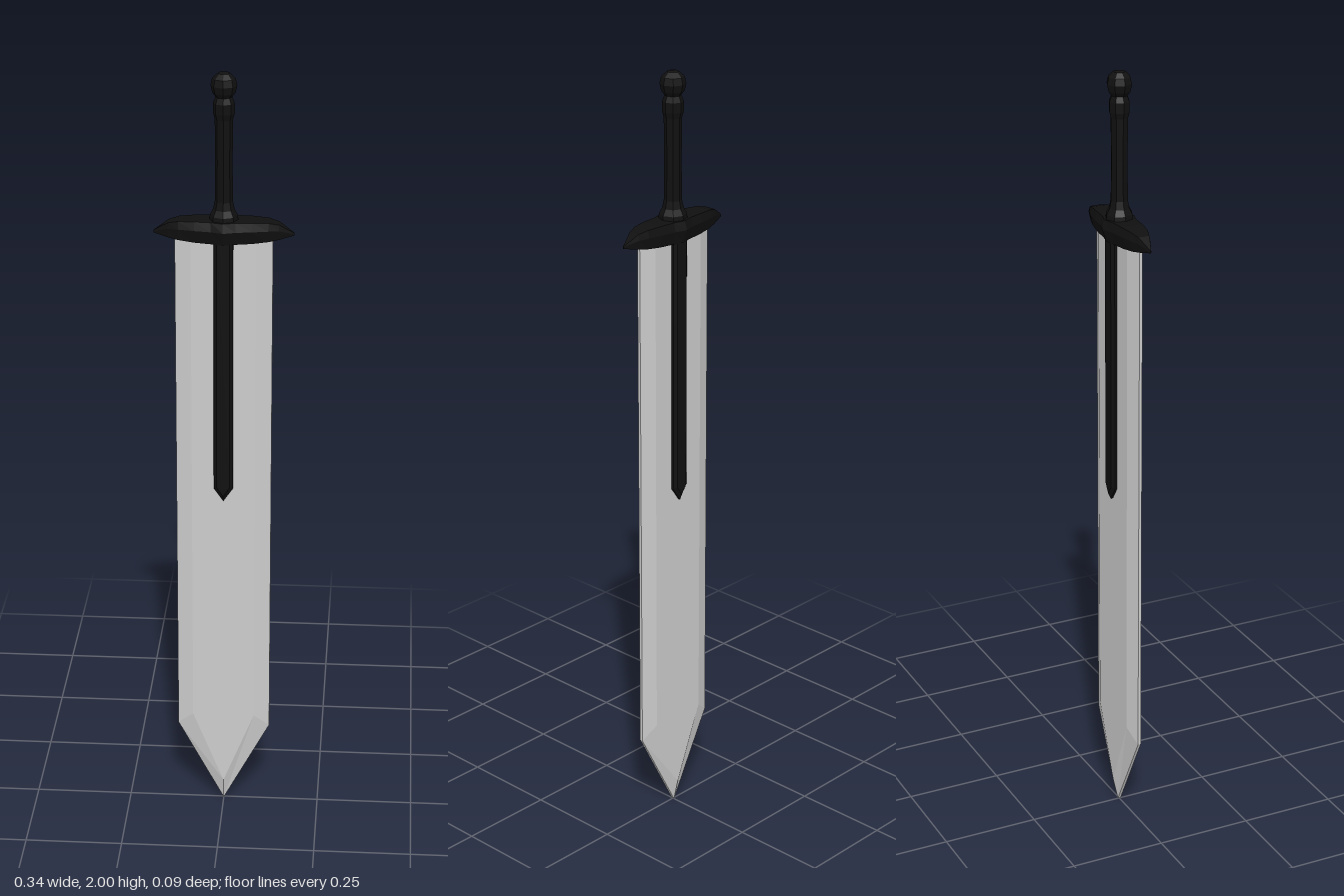
import * as THREE from 'three';

const steel = new THREE.MeshStandardMaterial({ color: 0xcccccc, flatShading: true });
const black = new THREE.MeshStandardMaterial({ color: 0x101010, flatShading: true });

// Skin a list of equal-length rings (counter-clockwise about the travel direction), capping both ends
function loft(rings) {
  const n = rings[0].length, last = (rings.length - 1) * n, index = [];
  for (let r = 0; r < rings.length - 1; r++) {
    for (let i = 0; i < n; i++) {
      const a = r * n + i, b = r * n + (i + 1) % n;
      index.push(a, b, b + n, a, b + n, a + n);
    }
  }
  for (let i = 1; i < n - 1; i++) {
    index.push(0, i + 1, i, last, last + i, last + i + 1);
  }
  const geo = new THREE.BufferGeometry();
  geo.setAttribute('position', new THREE.Float32BufferAttribute(rings.flat(2), 3));
  geo.setIndex(index);
  geo.computeVertexNormals();
  return geo;
}

// Pointed plate outline at depth z
const outline = (w, top, shoulder, tip, z) => [
  [-w, top, z], [-w, shoulder, z], [0, tip, z], [w, shoulder, z], [w, top, z],
];

function add(group, name, geometry, material) {
  const mesh = new THREE.Mesh(geometry, material);
  mesh.name = name;
  group.add(mesh);
}

export function createModel() {
  const sword = new THREE.Group();
  sword.name = 'sword';

  // Broad blade with bevelled edges and a pointed tip
  add(sword, 'blade', loft([
    outline(0.08, 1.6, 0.265, 0.065, -0.018),
    outline(0.12, 1.6, 0.23, 0.003, -0.004),
    outline(0.12, 1.6, 0.23, 0.003, 0.004),
    outline(0.08, 1.6, 0.265, 0.065, 0.018),
  ]), steel);

  // Dark rib running down both faces of the blade
  add(sword, 'bladeRib', loft([
    outline(0.016, 1.6, 0.93, 0.905, -0.031),
    outline(0.024, 1.6, 0.925, 0.89, -0.024),
    outline(0.024, 1.6, 0.925, 0.89, 0.024),
    outline(0.016, 1.6, 0.93, 0.905, 0.031),
  ]), black);

  // Crossguard: stations of [x, half depth, bottom, top], mirrored about the middle
  const half = [
    [0, 0.047, 1.578, 1.634], [0.03, 0.037, 1.578, 1.634], [0.07, 0.033, 1.58, 1.634],
    [0.11, 0.026, 1.584, 1.632], [0.135, 0.017, 1.588, 1.626], [0.172, 0.001, 1.596, 1.602],
  ];
  const stations = [...half.slice(1).reverse().map(([x, ...s]) => [-x, ...s]), ...half];
  add(sword, 'crossguard', loft(stations.map(([x, d, lo, hi]) => {
    const mid = lo + (hi - lo) * 0.6;
    return [
      [x, hi, d * 0.85], [x, mid, d], [x, lo, d * 0.75],
      [x, lo, -d * 0.75], [x, mid, -d], [x, hi, -d * 0.85],
    ];
  })), black);

  // Turned parts: lists of [radius, height]
  const turned = {
    grip: [[0.036, 1.625], [0.034, 1.645], [0.026, 1.66], [0.022, 1.68], [0.021, 1.78],
      [0.022, 1.885], [0.026, 1.9], [0.026, 1.925], [0.018, 1.945]],
    pommel: [[0, 1.93], [0.017, 1.935], [0.028, 1.95], [0.032, 1.968], [0.028, 1.985],
      [0.015, 1.997], [0, 2]],
  };
  for (const [name, profile] of Object.entries(turned)) {
    add(sword, name, new THREE.LatheGeometry(profile.map(p => new THREE.Vector2(...p)), 8), black);
  }
  return sword;
}
